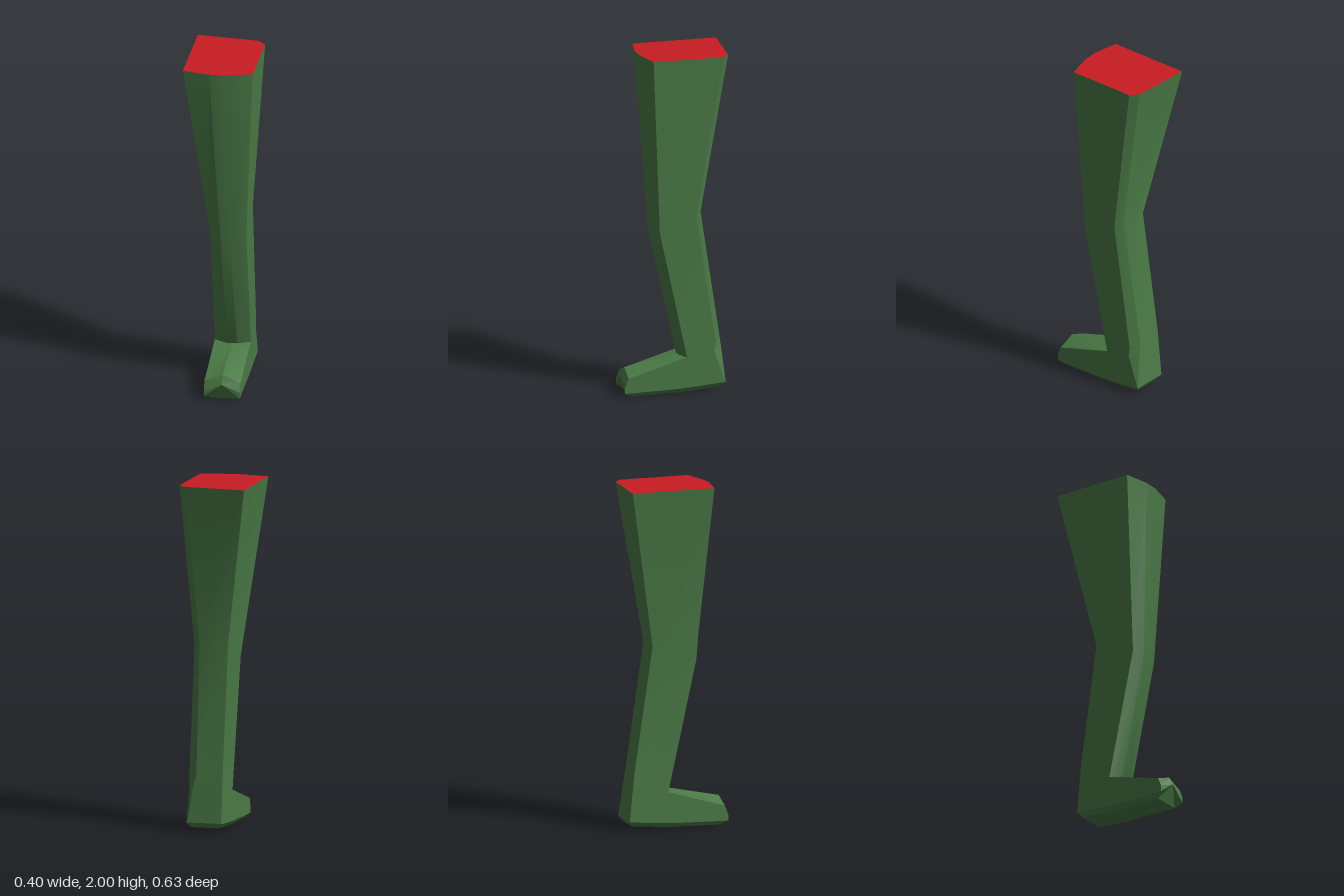
import * as THREE from 'three';
import { toCreasedNormals } from 'three/addons/utils/BufferGeometryUtils.js';

const green = new THREE.MeshStandardMaterial({ color: 0x4a7a46 });
const red = new THREE.MeshStandardMaterial({ color: 0xc81c22 });

// Fan of triangles closing a ring
function fan(ring, flip) {
  const out = [];
  for (let i = 1; i < ring.length - 1; i++) {
    out.push(...(flip ? [ring[0], ring[i + 1], ring[i]] : [ring[0], ring[i], ring[i + 1]]));
  }
  return out;
}

// Skin between successive rings of equal length
function loft(rings) {
  const out = [];
  for (let r = 0; r < rings.length - 1; r++) {
    const a = rings[r], b = rings[r + 1];
    for (let i = 0; i < a.length; i++) {
      const j = (i + 1) % a.length;
      out.push(a[i], a[j], b[j], a[i], b[j], b[i]);
    }
  }
  return out;
}

function part(name, corners, material) {
  const geo = new THREE.BufferGeometry();
  geo.setAttribute('position', new THREE.Float32BufferAttribute(corners.flat(), 3));
  geo.computeVertexNormals();
  const mesh = new THREE.Mesh(toCreasedNormals(geo, 0.4), material);
  mesh.name = name;
  return mesh;
}

// Leg ring: outline of [x, z] points, its height tilting from front to back
function legRing(outline, y, tilt = 0, z0 = 0) {
  return outline.map(([x, z]) => [x, y + Math.max(0, z0 - z) * tilt, z]);
}

// Foot section: ridged top, straight sides and bevelled sole
function footSection(z, ridge, side, soleTop, sole, zSole = z, zSide = z) {
  return [
    [0.05, ridge, z], [-0.055, side, zSide], [-0.055, soleTop, zSide], [-0.03, sole, zSole],
    [0.13, sole, zSole], [0.153, soleTop, zSide], [0.153, side, zSide],
  ];
}

export function createModel() {
  const group = new THREE.Group();
  group.name = 'leg';

  // Leg outlines from heel to thigh, with one bevelled back corner
  const heel = legRing([[-0.055, -0.055], [0.02, -0.05], [0.08, -0.05], [0.153, -0.055],
    [0.153, -0.28], [0.145, -0.285], [-0.055, -0.285]], 0.04, 0.085, -0.05);
  const heelTop = legRing([[-0.055, -0.055], [0.02, -0.025], [0.08, -0.025], [0.153, -0.055],
    [0.153, -0.215], [0.118, -0.265], [-0.055, -0.265]], 0.218, 0.2, -0.055);
  const ankle = legRing([[-0.055, -0.055], [0.02, -0.021], [0.08, -0.021], [0.153, -0.055],
    [0.153, -0.222], [0.1, -0.259], [-0.055, -0.259]], 0.225, 0.5, -0.055);
  const knee = legRing([[-0.055, 0.11], [0.01, 0.14], [0.06, 0.14], [0.155, 0.105],
    [0.155, -0.11], [0.115, -0.145], [-0.055, -0.148]], 0.97, 0.4, 0.105);
  const thigh = legRing([[-0.2, 0.175], [-0.045, 0.2], [0.04, 0.195], [0.2, 0.153],
    [0.2, -0.258], [0.155, -0.297], [-0.2, -0.318]], 2);
  group.add(part('leg', loft([heel, heelTop, ankle, knee, thigh]), green));

  // Flat cut face on top of the thigh
  group.add(part('thighCut', fan(thigh), red));

  // Foot from heel to toe
  const sections = [
    footSection(-0.284, 0.062, 0.062, 0.058, 0.03, -0.262),
    footSection(-0.055, 0.221, 0.22, 0.04, 0.012),
    footSection(-0.015, 0.218, 0.209, 0.037, 0.01),
    footSection(0.288, 0.16, 0.118, 0.03, 0.005, 0.25),
    footSection(0.315, 0.11, 0.065, 0.03, 0.005, 0.268, 0.309),
  ];
  group.add(part('foot', [
    ...loft(sections), ...fan(sections[0], true), ...fan(sections[sections.length - 1]),
  ], green));

  return group;
}
